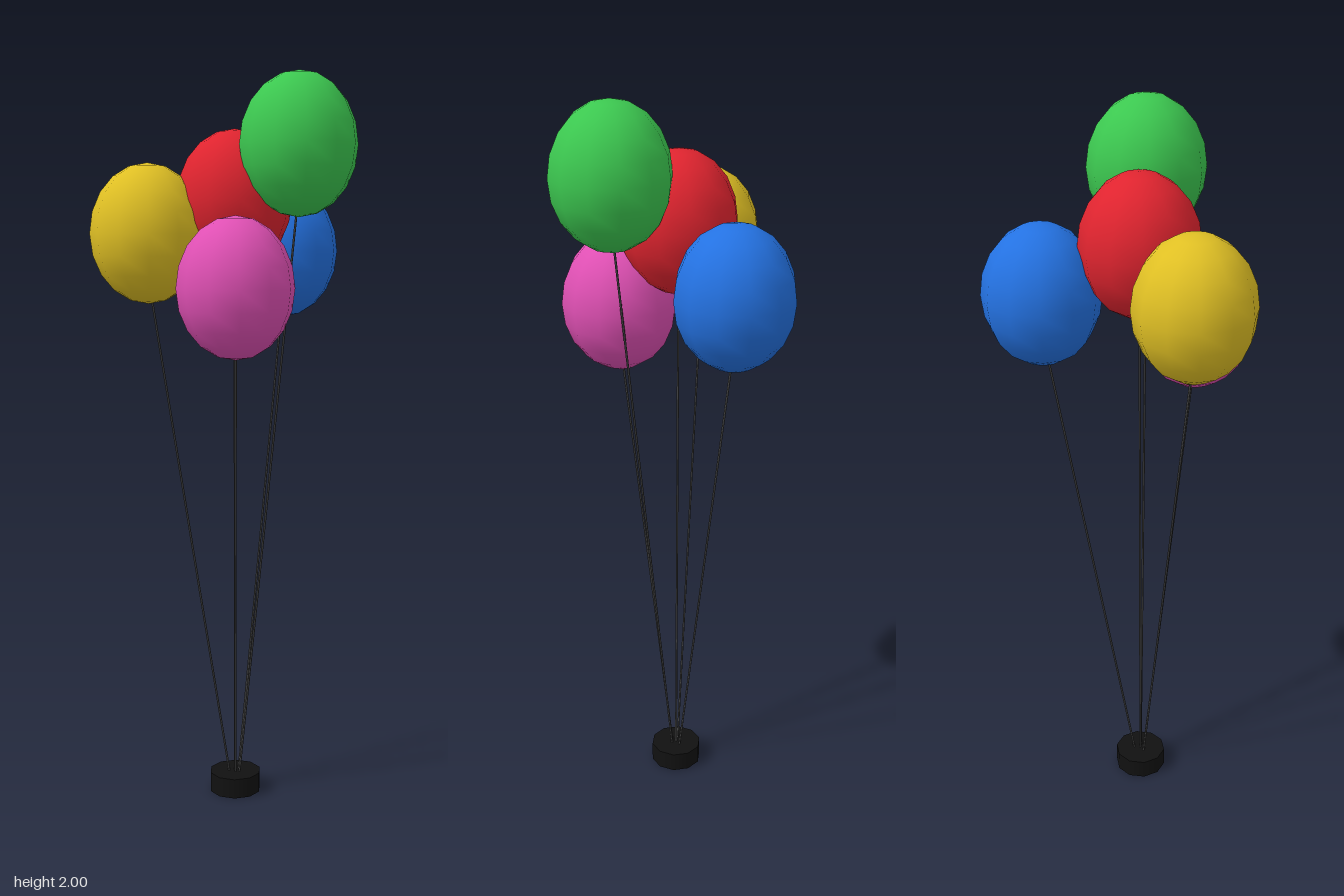
import * as THREE from 'three';

const material = (name, color) => {
  const m = new THREE.MeshStandardMaterial({ color });
  m.name = name;
  return m;
};

export function createModel() {
  const group = new THREE.Group();
  group.name = 'balloonBunch';

  // Weight that anchors the strings
  const centre = new THREE.Vector3(-0.016, 0, -0.037);
  const weight = new THREE.Mesh(
    new THREE.CylinderGeometry(0.073, 0.073, 0.056, 10),
    material('black weight', 0x111111)
  );
  weight.name = 'weight';
  weight.position.set(centre.x, 0.028, centre.z);
  group.add(weight);

  const stringMaterial = material('grey string', 0x444444);
  const balloonGeometry = new THREE.SphereGeometry(0.156, 12, 10);
  const up = new THREE.Vector3(0, 1, 0);

  // Name, colour and centre of each balloon
  const balloons = [
    ['green', 0x3cc850, 0.06, 1.813, 0.149],
    ['red', 0xe0242f, -0.015, 1.673, -0.038],
    ['yellow', 0xe0c024, -0.22, 1.583, -0.15],
    ['blue', 0x2472e2, 0.218, 1.535, -0.131],
    ['pink', 0xe050b4, -0.108, 1.443, 0.102],
  ];

  for (const [name, color, x, y, z] of balloons) {
    const balloon = new THREE.Mesh(balloonGeometry, material(name, color));
    balloon.name = `${name}Balloon`;
    balloon.position.set(x, y, z);
    balloon.scale.y = 1.2;
    group.add(balloon);

    // String from the weight into the underside of the balloon
    const top = new THREE.Vector3(x, y - 0.12, z);
    const bottom = new THREE.Vector3(
      centre.x + (x - centre.x) * 0.07, 0.05, centre.z + (z - centre.z) * 0.07
    );
    const along = top.clone().sub(bottom);
    const string = new THREE.Mesh(
      new THREE.CylinderGeometry(0.003, 0.003, along.length(), 6),
      stringMaterial
    );
    string.name = `${name}String`;
    string.position.copy(bottom).add(top).multiplyScalar(0.5);
    string.quaternion.setFromUnitVectors(up, along.normalize());
    group.add(string);
  }
  return group;
}
